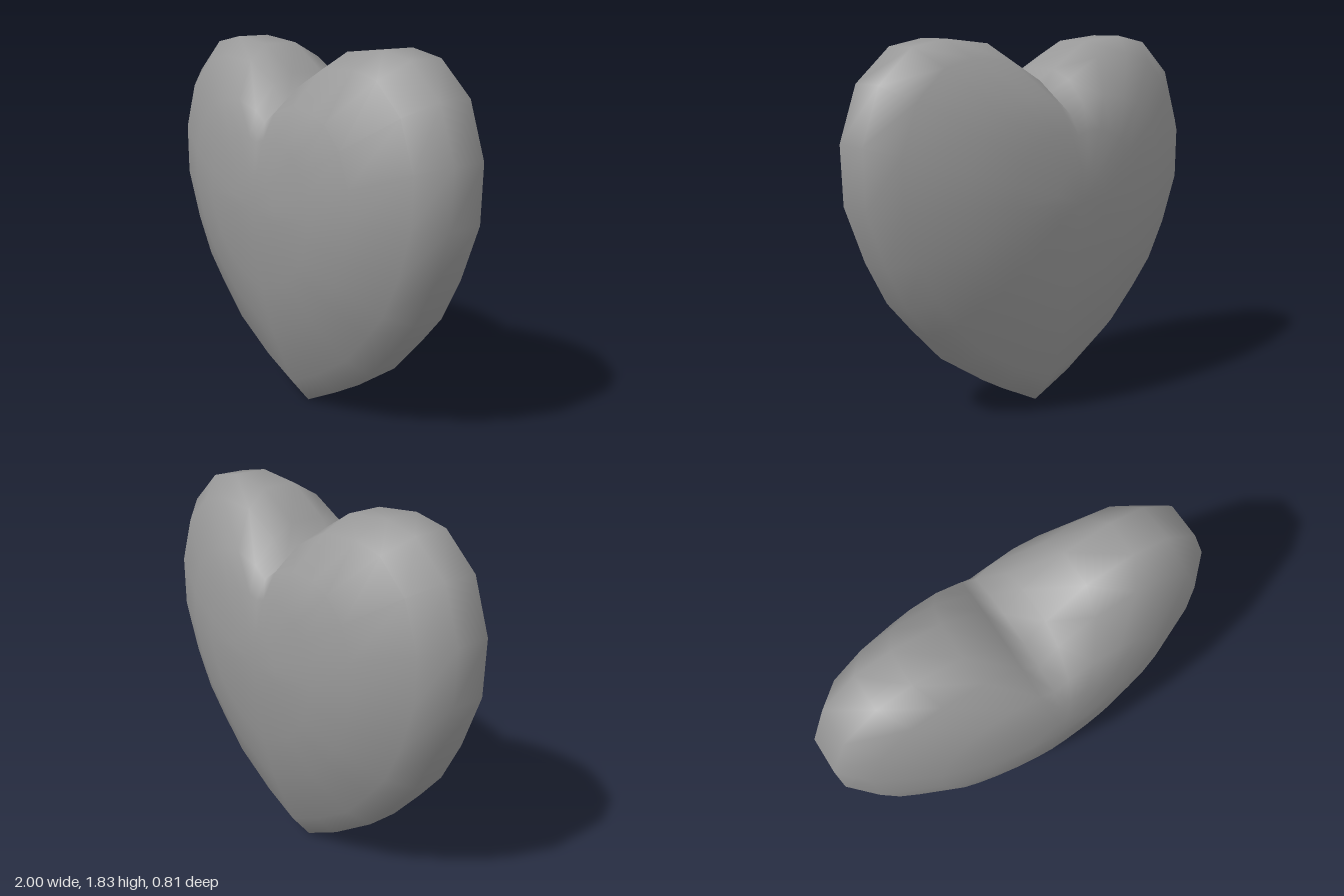
import * as THREE from 'three';

// Right half of the outline, from the top notch round to the bottom tip
const HALF = [
  [0, 1.53], [0.10, 1.67], [0.31, 1.80], [0.55, 1.825], [0.73, 1.79], [0.91, 1.63], [1, 1.37],
  [0.99, 1.09], [0.89, 0.82], [0.78, 0.61], [0.65, 0.46], [0.48, 0.28], [0.22, 0.11], [0, 0],
];
const CENTRE_Y = 1.06;
const ROUND_RADIUS = 0.96;
// Domed section: [outline scale, half thickness]
const DOME = [[0.17, 0.405], [0.4, 0.382], [0.62, 0.33], [0.885, 0.21], [1, 0.09]];

function heartGeometry() {
  const mirrored = HALF.slice(1, -1).reverse().map(([x, y]) => [-x, y]);
  const outline = [...HALF, ...mirrored];
  const n = outline.length;
  const rings = [...DOME, ...DOME.map(([s, z]) => [s, -z]).reverse()];
  const positions = [];
  const index = [];

  // Outlines from the front face, over the rim, to the back face
  for (const [s, z] of rings) {
    // inner rings turn from heart-shaped to round, so cleft and tip fade out
    const roundness = Math.min(1, 1.2 * Math.pow(1 - s, 1.2));
    for (const [x, y] of outline) {
      const radius = Math.hypot(x, y - CENTRE_Y);
      const k = s * THREE.MathUtils.lerp(1, ROUND_RADIUS / radius, roundness);
      const dy = (y - CENTRE_Y) * k;
      const taper = 1 - 0.15 * Math.max(0, -dy / CENTRE_Y);
      positions.push(x * k, CENTRE_Y + dy, z * taper);
    }
  }
  for (let r = 0; r < rings.length - 1; r++) {
    for (let i = 0; i < n; i++) {
      const j = (i + 1) % n;
      const a = r * n + i, b = r * n + j, c = a + n, d = b + n;
      index.push(a, b, c, b, d, c);
    }
  }

  // Middle of the front and back faces
  const front = positions.length / 3;
  positions.push(0, CENTRE_Y, 0.407, 0, CENTRE_Y, -0.407);
  const last = (rings.length - 1) * n;
  for (let i = 0; i < n; i++) {
    const j = (i + 1) % n;
    index.push(front, j, i, front + 1, last + i, last + j);
  }

  const geometry = new THREE.BufferGeometry();
  geometry.setAttribute('position', new THREE.Float32BufferAttribute(positions, 3));
  geometry.setIndex(index);
  geometry.computeVertexNormals();
  return geometry;
}

export function createModel() {
  const group = new THREE.Group();
  group.name = 'heart';
  const body = new THREE.Mesh(heartGeometry(), new THREE.MeshStandardMaterial({ color: 0x999999 }));
  body.name = 'heartBody';
  group.add(body);
  return group;
}
